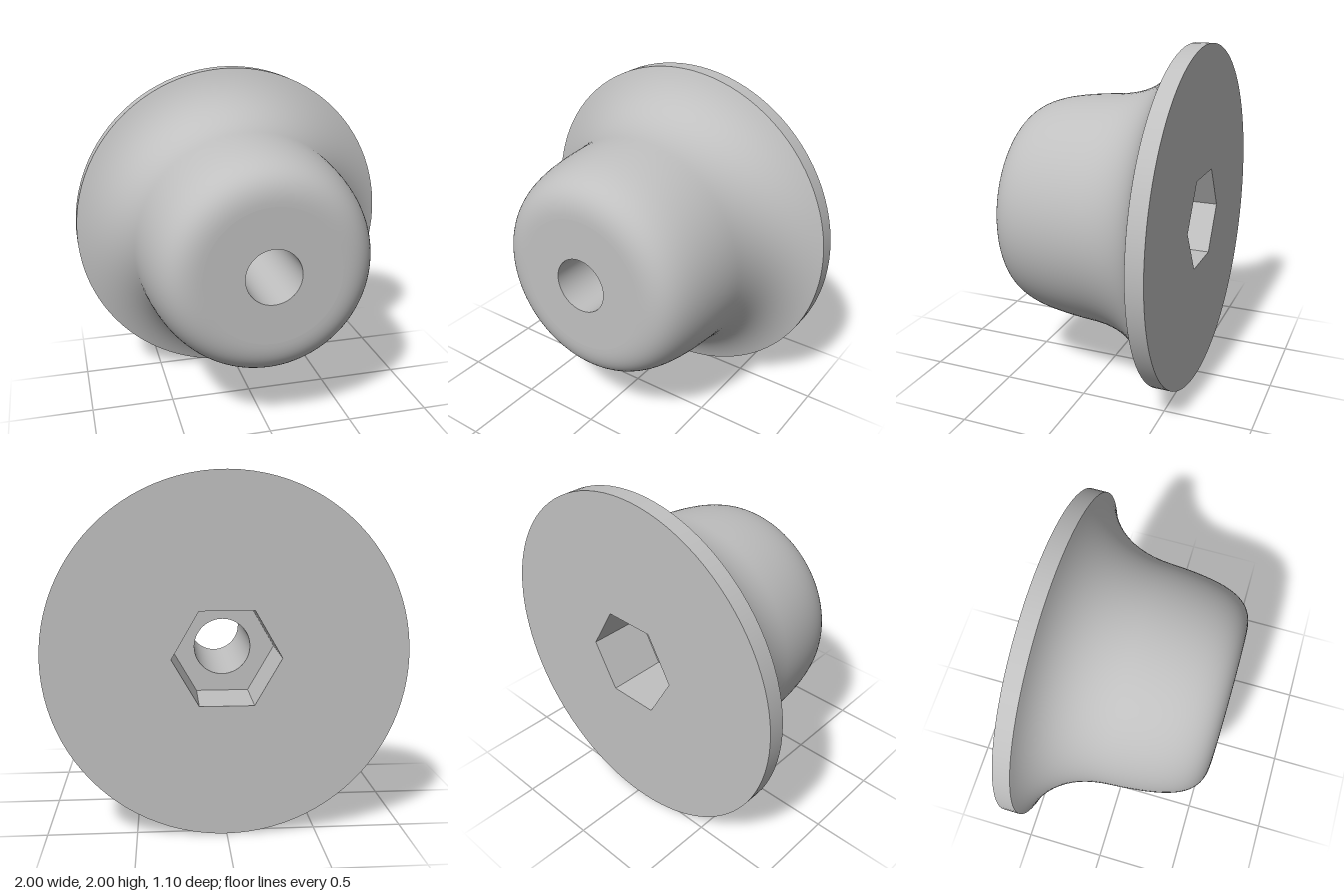
import * as THREE from 'three';

const BACK = -0.548, LIP = -0.45, FRONT = 0.548, FLOOR = -0.19;
const BORE = 0.163, HEX = 0.302, SEGMENTS = 96;

export function createModel() {
  const model = new THREE.Group();
  const grey = new THREE.MeshStandardMaterial({ color: 0xc0c0c0 });
  const v = (r, z) => new THREE.Vector2(r, z);

  const add = (name, geometry) => {
    const mesh = new THREE.Mesh(geometry, grey);
    mesh.name = name;
    mesh.position.y = 1;
    model.add(mesh);
  };

  // Surface of revolution about z from (radius, z) points
  const turned = (points, segments = SEGMENTS) =>
    new THREE.LatheGeometry(points, segments, Math.PI / 2).rotateX(Math.PI / 2);

  const hexPoints = Array.from({ length: 6 }, (_, i) =>
    v(HEX * Math.cos(i * Math.PI / 3), HEX * Math.sin(i * Math.PI / 3)));

  // Flat plate with an opening, facing backwards at depth z
  const backPlate = (shape, hole, z) => {
    shape.holes.push(hole);
    return new THREE.ShapeGeometry(shape, SEGMENTS / 2).rotateY(Math.PI).translate(0, 0, z);
  };
  const circle = (Type, r) => new Type().absarc(0, 0, r, 0, Math.PI * 2, false);

  // Flange rim
  add('flangeRim', turned([v(1, BACK), v(1, LIP)]));

  // Flared body: concave sweep from the flange, then a rounded shoulder
  const flare = new THREE.CubicBezierCurve(v(1, LIP), v(0.82, -0.385), v(0.705, -0.24), v(0.69, 0));
  const shoulder = new THREE.CubicBezierCurve(v(0.69, 0), v(0.665, 0.4), v(0.605, FRONT), v(0.4, FRONT));
  add('flaredBody', turned([...flare.getPoints(20), ...shoulder.getPoints(24).slice(1)]));

  // Flat front face around the bore
  add('frontFace', new THREE.RingGeometry(BORE, 0.4, SEGMENTS).translate(0, 0, FRONT));

  // Through bore
  add('bore', turned([v(BORE, FRONT), v(BORE, FLOOR)]));

  // Back face with hexagonal opening
  add('backFace', backPlate(circle(THREE.Shape, 1), new THREE.Path(hexPoints), BACK));

  // Hexagonal socket walls and floor
  const walls = turned([v(HEX, FLOOR), v(HEX, BACK)], 6).toNonIndexed();
  walls.computeVertexNormals();
  add('socketWalls', walls);
  add('socketFloor', backPlate(new THREE.Shape(hexPoints), circle(THREE.Path, BORE), FLOOR));

  return model;
}
